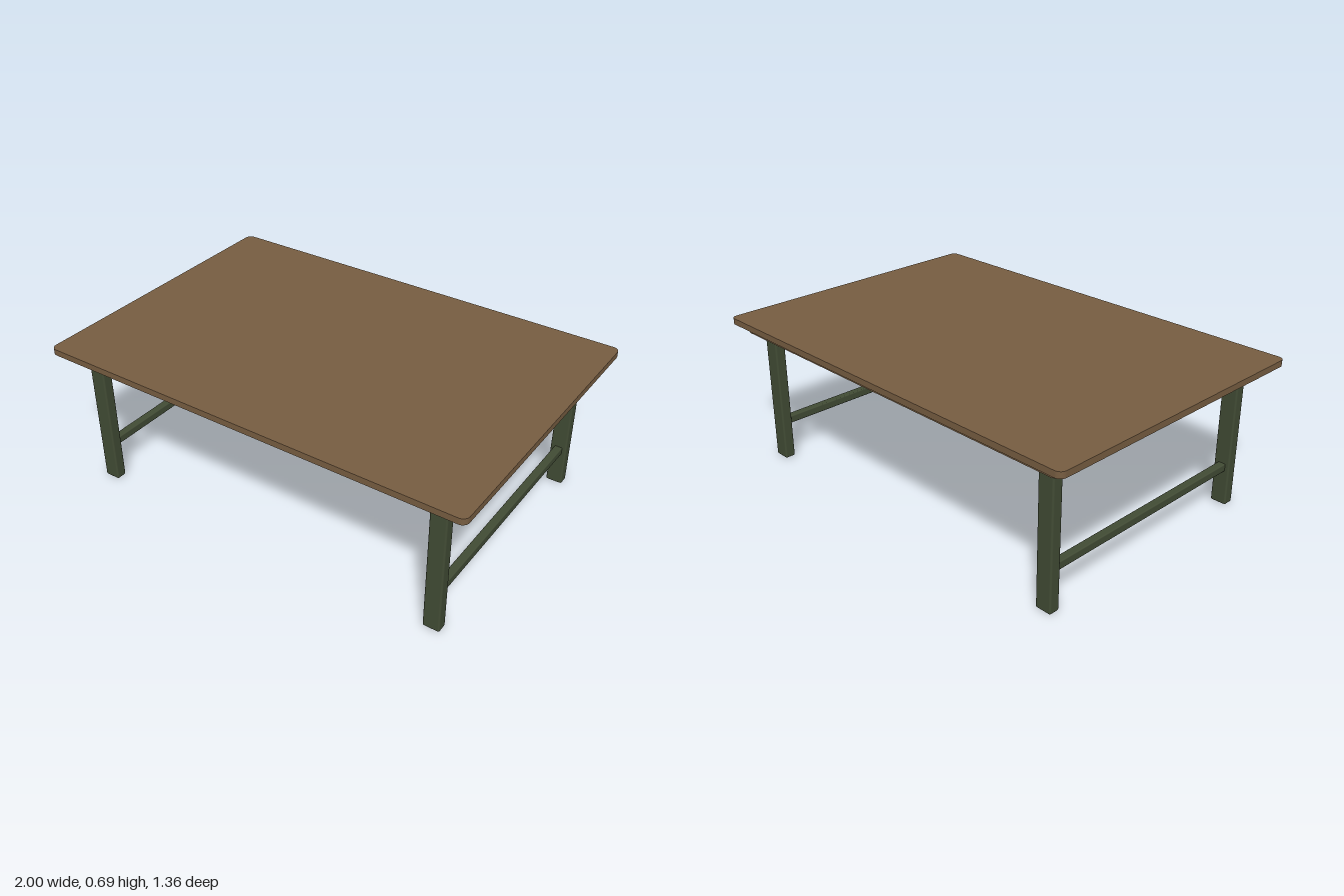
import * as THREE from 'three';
import { RoundedBoxGeometry } from 'three/addons/geometries/RoundedBoxGeometry.js';

const wood = new THREE.MeshStandardMaterial({ color: 0x785e42 });
wood.name = 'brown wood';
const paint = new THREE.MeshStandardMaterial({ color: 0x424c35 });
paint.name = 'dark green paint';

// Horizontal slab with rounded vertical corners, from y0 to y1
function slab(name, w, d, r, y0, y1) {
  const x = w / 2, z = d / 2;
  const s = new THREE.Shape();
  s.absarc(x - r, z - r, r, 0, Math.PI / 2);
  s.absarc(-x + r, z - r, r, Math.PI / 2, Math.PI);
  s.absarc(-x + r, -z + r, r, Math.PI, Math.PI * 1.5);
  s.absarc(x - r, -z + r, r, Math.PI * 1.5, Math.PI * 2);
  const g = new THREE.ExtrudeGeometry(s, { depth: y1 - y0, bevelEnabled: false, curveSegments: 6 });
  g.rotateX(-Math.PI / 2);
  const m = new THREE.Mesh(g, wood);
  m.name = name;
  m.position.y = y0;
  return m;
}

// Softly bevelled bar centred at a point
function bar(name, w, h, d, r, x, y, z) {
  const m = new THREE.Mesh(new RoundedBoxGeometry(w, h, d, 2, r), paint);
  m.name = name;
  m.position.set(x, y, z);
  return m;
}

export function createModel() {
  const table = new THREE.Group();
  table.name = 'table';

  // Top board and the smaller panel under it
  table.add(slab('tableTop', 2, 1.36, 0.03, 0.657, 0.685));
  table.add(slab('underPanel', 1.876, 1.276, 0.022, 0.62, 0.657));

  // Legs, with a stretcher joining each end pair
  for (const side of [1, -1]) {
    const label = side > 0 ? 'left' : 'right';
    for (const end of [1, -1]) {
      table.add(bar(label + (end > 0 ? 'Front' : 'Back') + 'Leg',
        0.075, 0.622, 0.05, 0.008, side * 0.846, 0.311, end * 0.559));
    }
    table.add(bar(label + 'Stretcher', 0.036, 0.036, 1.08, 0.005, side * 0.846, 0.178, 0));
  }
  return table;
}
